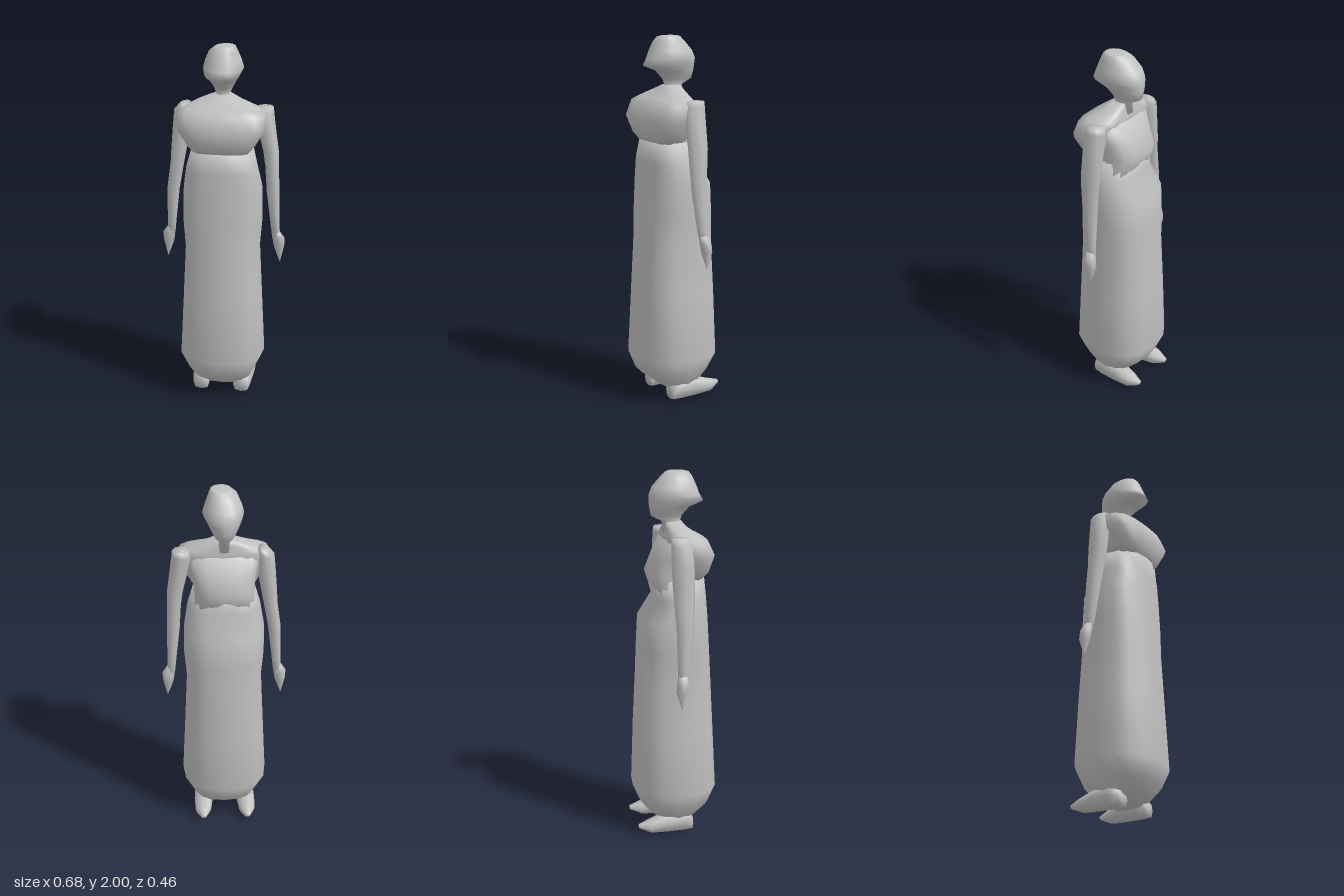
import * as THREE from 'three';

const SIDES = 16;

// Loft through rows of [s, centreX, halfWidth, lo, hi].
// Upright lofts: s is y and lo/hi are z. Lengthwise lofts: s is z (descending) and lo/hi are y.
function loft(rows, { sides = SIDES, power = 0.85, lengthwise = false } = {}) {
  const pos = [], idx = [];
  const put = (x, s, v) => (lengthwise ? pos.push(x, v, s) : pos.push(x, s, v));
  const bend = (t) => Math.sign(t) * Math.pow(Math.abs(t), power);
  for (const [s, cx, w, lo, hi] of rows) {
    for (let i = 0; i < sides; i++) {
      const a = (i / sides) * Math.PI * 2;
      put(cx + w * bend(Math.cos(a)), s, (lo + hi) / 2 + ((hi - lo) / 2) * bend(Math.sin(a)));
    }
  }
  for (let r = 0; r < rows.length - 1; r++) {
    for (let i = 0; i < sides; i++) {
      const j = (i + 1) % sides, a = r * sides, b = a + sides;
      idx.push(a + i, b + i, b + j, a + i, b + j, a + j);
    }
  }
  // end caps
  const last = rows.length - 1;
  for (const r of [0, last]) {
    const [s, cx, , lo, hi] = rows[r];
    const c = pos.length / 3;
    put(cx, s, (lo + hi) / 2);
    for (let i = 0; i < sides; i++) {
      const p = r * sides + i, q = r * sides + ((i + 1) % sides);
      if (r === 0) idx.push(c, p, q);
      else idx.push(c, q, p);
    }
  }
  const g = new THREE.BufferGeometry();
  g.setAttribute('position', new THREE.Float32BufferAttribute(pos, 3));
  g.setIndex(idx);
  g.computeVertexNormals();
  return g;
}

export function createModel() {
  const group = new THREE.Group();
  const stone = new THREE.MeshStandardMaterial({ color: 0xc0c0c0 });
  stone.name = 'stone grey';
  const add = (name, geometry) => {
    const mesh = new THREE.Mesh(geometry, stone);
    mesh.name = name;
    group.add(mesh);
    return mesh;
  };

  // Long gown, tucked in at the hem and below the bust
  add('gown', loft([
    [0.05, 0, 0.12, -0.08, 0.07],
    [0.09, 0, 0.165, -0.13, 0.12],
    [0.15, 0, 0.19, -0.19, 0.195],
    [0.25, 0, 0.238, -0.232, 0.232],
    [0.60, 0, 0.22, -0.22, 0.215],
    [0.90, 0, 0.205, -0.205, 0.2],
    [1.05, 0, 0.217, -0.197, 0.19],
    [1.22, 0, 0.215, -0.187, 0.18],
    [1.34, 0, 0.195, -0.11, 0.17],
    [1.45, 0, 0.165, -0.14, 0.162],
  ], { power: 0.8 }));

  // Bust and upper chest
  add('bodice', loft([
    [1.33, 0, 0.17, -0.1, 0.1],
    [1.40, 0, 0.165, -0.125, 0.1],
    [1.47, 0, 0.16, -0.148, 0.1],
    [1.56, 0, 0.17, -0.11, 0.1],
    [1.66, 0, 0.19, -0.055, 0.1],
  ], { power: 0.75 }));

  // Shawl draped over the back and shoulders
  add('shawl', loft([
    [1.44, 0, 0.15, -0.04, 0.15],
    [1.48, 0, 0.18, -0.05, 0.185],
    [1.57, 0, 0.235, -0.055, 0.207],
    [1.65, 0, 0.238, -0.06, 0.168],
    [1.675, 0, 0.2, -0.055, 0.12],
    [1.71, -0.01, 0.115, -0.05, 0.07],
    [1.74, 0, 0.045, -0.045, 0.045],
  ], { power: 0.75 }));

  // Neck, head and gathered hair
  add('head', loft([
    [1.68, 0, 0.05, -0.06, 0.06],
    [1.74, 0, 0.036, -0.06, 0.04],
    [1.77, 0, 0.05, -0.118, 0.05],
    [1.815, 0, 0.075, -0.127, 0.09],
    [1.845, 0, 0.092, -0.13, 0.166],
    [1.88, 0.004, 0.106, -0.128, 0.145],
    [1.92, 0.003, 0.095, -0.112, 0.13],
    [1.97, 0.005, 0.075, -0.065, 0.108],
    [1.995, 0.015, 0.055, -0.035, 0.09],
    [2.0, 0.02, 0.04, -0.02, 0.07],
  ], { power: 0.95 }));

  // Arms with tapering hands; the left shoulder is squarer
  for (const side of [1, -1]) {
    const left = side > 0;
    const name = left ? 'left' : 'right';
    const row = (y, x, w, lo, hi) => [y, side * x, w, lo, hi];
    add(name + 'Arm', loft([
      row(0.93, 0.292, 0.022, -0.045, 0.005),
      row(1.0, 0.286, 0.024, -0.042, 0.02),
      row(1.2, 0.272, 0.034, -0.045, 0.045),
      row(1.35, left ? 0.265 : 0.248, 0.037, -0.052, 0.058),
      row(1.43, left ? 0.258 : 0.238, 0.042, -0.058, 0.06),
      row(1.55, left ? 0.235 : 0.222, 0.048, -0.06, 0.062),
      row(1.645, 0.215, left ? 0.056 : 0.046, -0.06, 0.06),
      row(left ? 1.674 : 1.682, left ? 0.222 : 0.2, left ? 0.046 : 0.028, -0.055, 0.04),
    ], { sides: 8, power: 1 }));
    add(name + 'Hand', loft([
      row(0.79, 0.313, 0.002, -0.027, -0.022),
      row(0.88, 0.307, 0.029, -0.056, 0.004),
      row(0.93, 0.305, 0.034, -0.05, 0.012),
      row(0.97, 0.29, 0.022, -0.04, 0.012),
    ], { sides: 6, power: 1 }));

    // Feet pointing out from under the hem
    add(name + 'Foot', loft([
      [0.08, side * 0.115, 0.045, 0.005, 0.09],
      [0.03, side * 0.118, 0.052, 0, 0.13],
      [-0.07, side * 0.122, 0.054, 0.005, 0.115],
      [-0.16, side * 0.127, 0.045, 0.012, 0.08],
      [-0.225, side * 0.127, 0.015, 0.04, 0.06],
    ], { sides: 8, power: 0.7, lengthwise: true }));
  }

  return group;
}
